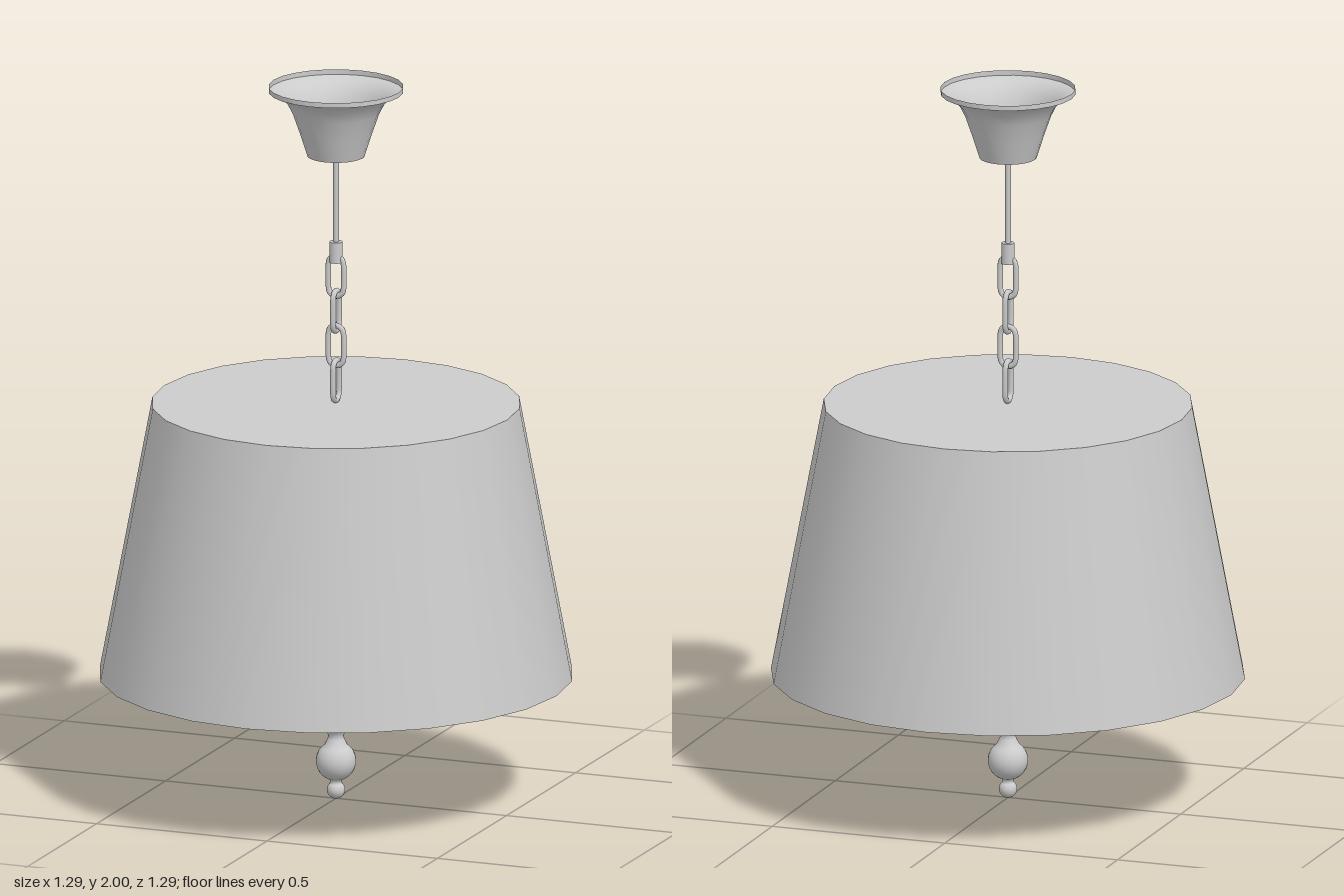
import * as THREE from 'three';
import { toCreasedNormals } from 'three/addons/utils/BufferGeometryUtils.js';

const grey = new THREE.MeshStandardMaterial({ color: 0xcccccc });
const greyDouble = new THREE.MeshStandardMaterial({ color: 0xcccccc, side: THREE.DoubleSide });

export function createModel() {
  const model = new THREE.Group();

  function add(name, geometry, y = 0, material = grey) {
    const mesh = new THREE.Mesh(geometry, material);
    mesh.name = name;
    mesh.position.y = y;
    model.add(mesh);
    return mesh;
  }
  const lathe = (pts, segments) =>
    new THREE.LatheGeometry(pts.map(([r, y]) => new THREE.Vector2(r, y)), segments);

  // Closed tapered shade
  add('shade', new THREE.CylinderGeometry(0.503, 0.647, 0.762, 24), 0.731);

  // Ceiling canopy: flared cup, open at the top
  const cup = lathe([
    [0, 1.805], [0.078, 1.805], [0.098, 1.868], [0.118, 1.925], [0.132, 1.953],
    [0.15, 1.972], [0.168, 1.982], [0.184, 1.986], [0.184, 2],
  ], 24);
  add('canopy', toCreasedNormals(cup, 0.7), 0, greyDouble);

  // Rod and the collar that holds the chain
  add('rod', new THREE.CylinderGeometry(0.008, 0.008, 0.26, 12), 1.68);
  add('collar', new THREE.CylinderGeometry(0.018, 0.018, 0.058, 16), 1.535);

  // Chain: oval links, every other one turned a quarter
  const half = 0.034, bend = 0.022, path = [];
  for (let i = 0; i < 16; i++) {
    const a = ((i % 8) / 7) * Math.PI + (i < 8 ? 0 : Math.PI);
    path.push(new THREE.Vector3(Math.cos(a) * bend, Math.sin(a) * bend + (i < 8 ? half : -half), 0));
  }
  const curve = new THREE.CatmullRomCurve3(path, true);
  const linkGeometry = new THREE.TubeGeometry(curve, 40, 0.008, 8, true);
  for (let i = 0; i < 4; i++) {
    const link = add('chainLink', linkGeometry, 1.467 - i * 0.0975);
    link.rotation.y = (i % 2) * Math.PI / 2;
  }

  // Turned finial: three balls joined by necks
  const profile = [];
  const ball = (y, r, from, to) => {
    for (let i = 0; i <= 10; i++) {
      const a = THREE.MathUtils.degToRad(from + (to - from) * i / 10);
      profile.push([Math.max(0, r * Math.cos(a)), y + r * Math.sin(a)]);
    }
  };
  ball(0.025, 0.025, -90, 55);
  ball(0.106, 0.055, -72, 55);
  profile.push([0.023, 0.168], [0.021, 0.176], [0.024, 0.186]);
  ball(0.262, 0.071, -62, 66);
  profile.push([0.023, 0.334], [0.032, 0.345], [0.032, 0.355]);
  add('finial', lathe(profile, 24));

  return model;
}
